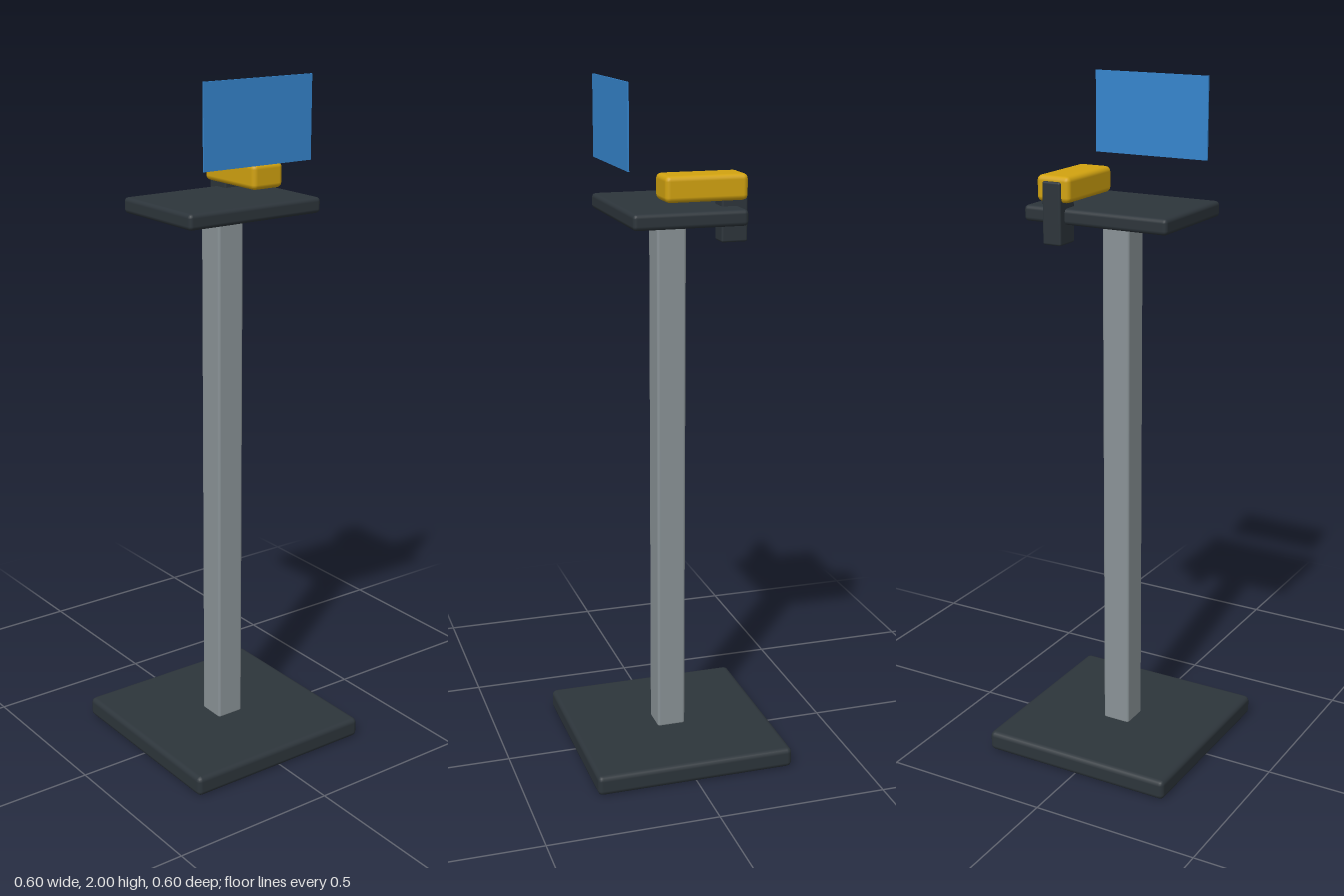
import * as THREE from 'three';
import { RoundedBoxGeometry } from 'three/addons/geometries/RoundedBoxGeometry.js';

function material(name, color) {
  const m = new THREE.MeshStandardMaterial({ color });
  m.name = name;
  return m;
}

export function createModel() {
  const group = new THREE.Group();
  group.name = 'scannerStand';

  const charcoal = material('charcoal', 0x2d353b);
  const steel = material('steel grey', 0x8a9397);
  const amber = material('amber', 0xd2a310);
  const blue = material('screen blue', 0x3585cd);

  // Box given by its min and max corners, with softened edges when radius > 0
  function box(name, mat, min, max, radius = 0) {
    const size = max.map((v, i) => v - min[i]);
    const geometry = radius
      ? new RoundedBoxGeometry(...size, 2, radius)
      : new THREE.BoxGeometry(...size);
    const mesh = new THREE.Mesh(geometry, mat);
    mesh.name = name;
    mesh.position.set(...max.map((v, i) => (v + min[i]) / 2));
    group.add(mesh);
  }

  // Floor plate and column
  box('base', charcoal, [-0.298, 0, -0.298], [0.298, 0.06, 0.298], 0.015);
  box('post', steel, [-0.043, 0.055, -0.043], [0.043, 1.625, 0.043], 0.008);

  // Tray on top of the column
  box('tray', charcoal, [-0.223, 1.615, -0.163], [0.223, 1.66, 0.163], 0.012);

  // Handheld device held above the tray by a rear bracket
  box('holderBracket', charcoal, [0.09, 1.56, -0.186], [0.148, 1.735, -0.11], 0.006);
  box('handheldDevice', amber, [0.066, 1.677, -0.18], [0.171, 1.75, 0.057], 0.015);

  // Floating display panel at the front edge
  box('displayPanel', blue, [-0.18, 1.768, 0.161], [0.179, 2, 0.166]);

  return group;
}
